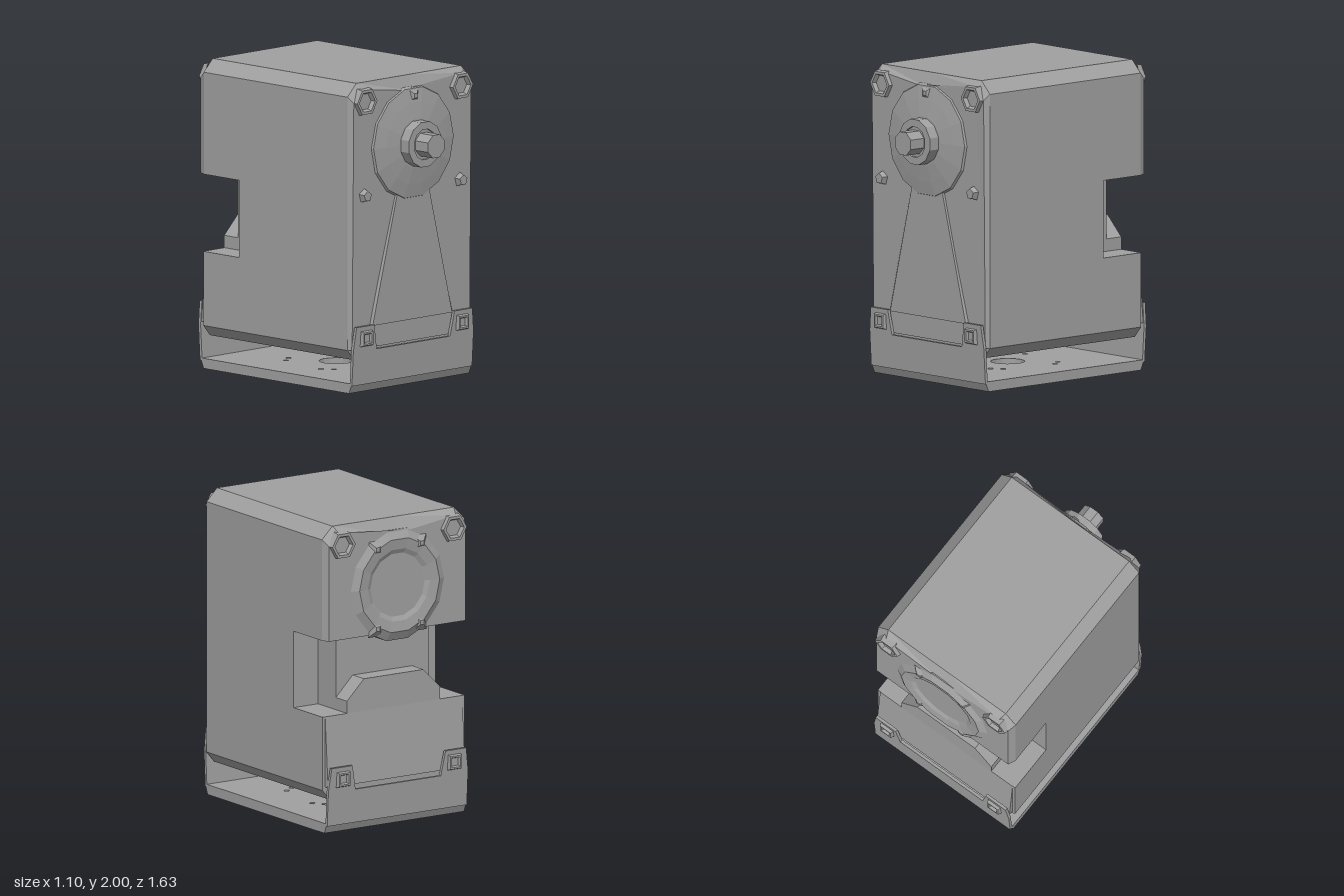
import * as THREE from 'three';

const grey = new THREE.MeshStandardMaterial({ color: 0xa0a0a0 });
grey.name = 'metal grey';
grey.flatShading = true;

const toShape = pts => new THREE.Shape(pts.map(p => new THREE.Vector2(p[0], p[1])));
const mirrored = pts => [...pts, ...pts.slice().reverse().filter(p => p[0] !== 0).map(p => [-p[0], p[1]])];

// Extrudes an outline from z0 to z1 (z0 < z1); rule may move each vertex
function slab(pts, z0, z1, rule, holes = []) {
  const shape = toShape(pts);
  shape.holes.push(...holes);
  const g = new THREE.ExtrudeGeometry(shape, { depth: z1 - z0, bevelEnabled: false, curveSegments: 8 });
  g.translate(0, 0, z0);
  if (rule) {
    const p = g.attributes.position;
    for (let i = 0; i < p.count; i++) p.setXYZ(i, ...rule(p.getX(i), p.getY(i), p.getZ(i)));
    g.computeVertexNormals();
  }
  return g;
}

// Turned part whose axis points along +z or -z
function turned(profile, sides, dir) {
  const g = new THREE.LatheGeometry(profile.map(p => new THREE.Vector2(p[0], p[1])), sides, Math.PI / sides);
  return g.rotateX(dir * Math.PI / 2);
}

function circleHole(x, y, r, n) {
  const path = new THREE.Path();
  for (let i = 0; i <= n; i++) {
    const a = -i / n * Math.PI * 2;
    const px = x + r * Math.cos(a), py = y + r * Math.sin(a);
    i ? path.lineTo(px, py) : path.moveTo(px, py);
  }
  return path;
}

export function createModel() {
  const model = new THREE.Group();
  const add = (name, geometry, x = 0, y = 0, z = 0) => {
    const m = new THREE.Mesh(geometry, grey);
    m.name = name;
    m.position.set(x, y, z);
    model.add(m);
    return m;
  };

  // Motor case: full section in front, split by the cable recess behind
  const upper = y => mirrored([[0.55, y], [0.55, 1.92], [0.47, 2]]);
  const lower = mirrored([[0.49, 0.21], [0.55, 0.28], [0.55, 0.76]]);
  add('caseFront', slab(mirrored([[0.49, 0.21], [0.55, 0.28], [0.55, 1.92], [0.47, 2]]), -0.41, 0.57));
  add('caseBackUpper', slab(upper(1.26), -0.73, -0.41));
  add('caseBackLower', slab(lower, -0.735, -0.41));
  add('recessColumn', new THREE.BoxGeometry(0.72, 0.6, 0.22), 0, 1.0, -0.5);
  add('connectorHump', slab(mirrored([[0.36, 0.7], [0.36, 0.84], [0.23, 0.97]]), -0.737, -0.6));

  // Bevelled covers with a dip at the middle of the top edge
  const outline = y => mirrored([[0.55, y], [0.55, 1.92], [0.47, 2], [0, 2]]);
  const coverRule = (near, far, low) => (x, y, z) => {
    if (Math.abs(z - near) < 0.001) return [x, y, z];
    const inset = y < 1 ? 0 : Math.abs(x) < 0.01 ? 0.1 : 0.04;
    return [x * 0.96, y - (y > 1.5 ? inset : 0), y < 1 ? low : far];
  };
  add('frontCover', slab(outline(0.28), 0.57, 0.605, coverRule(0.57, 0.605, 0.59)));
  add('backCover', slab(outline(1.26), -0.78, -0.73, coverRule(-0.73, -0.78, -0.76)));
  add('lowerBackCover', slab(mirrored([[0.53, 0.3], [0.53, 0.76]]), -0.76, -0.73,
    (x, y, z) => [x, y, z > -0.74 ? z : y > 0.5 ? -0.737 : -0.77]));

  // Tapered rib panel below the output boss
  add('frontRib', slab(mirrored([[0.38, 0.42], [0.15, 1.26]]), 0.585, 0.612,
    (x, y, z) => [z > 0.6 ? x * 0.94 : x, y, z > 0.6 && y < 0.6 ? 0.604 : z]));

  // Output boss, hub and drive shaft
  const axisY = 1.565;
  add('frontBoss', turned([[0.38, 0], [0.36, 0.035], [0.27, 0.05], [0.16, 0.065], [0, 0.065]], 14, 1), 0, axisY, 0.58);
  add('hub', turned([[0.15, 0], [0.15, 0.09], [0.1, 0.09], [0.1, 0.075], [0, 0.075]], 12, 1), 0, axisY, 0.63);
  add('shaft', turned([[0.08, 0], [0.08, 0.12], [0, 0.12]], 8, 1), 0, axisY, 0.7);

  // Rear boss with a shallow dished centre
  add('backBoss', turned([[0, 0], [0.37, 0], [0.37, 0.115], [0.31, 0.145], [0.24, 0.135], [0.2, 0.115], [0, 0.115]], 14, -1),
    0, axisY, -0.66);

  // Screw wells and small lugs on both covers
  const well = [[0.1, 0], [0.09, 0.045], [0.07, 0.045], [0.055, 0.015], [0, 0.015]];
  const lug = [[0.05, 0], [0.035, 0.045], [0, 0.045]];
  for (const s of [-1, 1]) {
    add('frontScrewWell', turned(well, 6, 1), s * 0.43, 1.88, 0.585);
    add('backScrewWell', turned(well, 6, -1), s * 0.43, 1.88, -0.76);
    add('frontLug', turned(lug, 5, 1), s * 0.43, 1.27, 0.59);
    for (const y of [1.3, 1.82]) add('backRib', turned([[0.08, 0], [0.02, 0.035], [0, 0.035]], 4, -1), s * 0.17, y, -0.775);
  }
  add('frontNotch', turned([[0.08, 0], [0.02, 0.035], [0, 0.035]], 4, 1), 0, 1.87, 0.6);

  // Bracket base with a centre hole and paired small holes, chamfered below
  const holes = [circleHole(0, 0, 0.11, 16)];
  for (let i = 0; i < 4; i++) {
    const a = 0.61 + i * Math.PI / 2;
    for (const d of [-0.13, 0.13])
      holes.push(circleHole(0.32 * Math.cos(a + d), 0.32 * Math.sin(a + d), 0.022, 4));
  }
  const base = slab([[-0.54, -0.685], [0.54, -0.685], [0.54, 0.685], [-0.54, 0.685]], 0, 0.065,
    (x, y, z) => [x, z < 0.01 ? y * 0.96 : y, z], holes);
  base.rotateX(-Math.PI / 2);
  add('bracketBase', base, 0, 0, -0.085);

  // Thin bracket ears with two screw tabs each, leaning outward
  const ear = mirrored([[0.54, 0.05], [0.54, 0.28], [0.52, 0.43], [0.36, 0.43], [0.33, 0.27]]);
  for (const dir of [1, -1]) {
    const z = dir > 0 ? 0.59 : -0.765;
    add(dir > 0 ? 'frontEar' : 'backEar', slab(ear, z - 0.01, z + 0.01,
      (x, y, zz) => [x, y, zz + dir * (y - 0.05) * 0.06]));
    for (const s of [-1, 1])
      add('earScrew', turned([[0.075, 0], [0.06, 0.03], [0.045, 0.03], [0.035, 0.012], [0, 0.012]], 4, dir),
        s * 0.43, 0.35, z + dir * 0.02);
  }
  return model;
}
